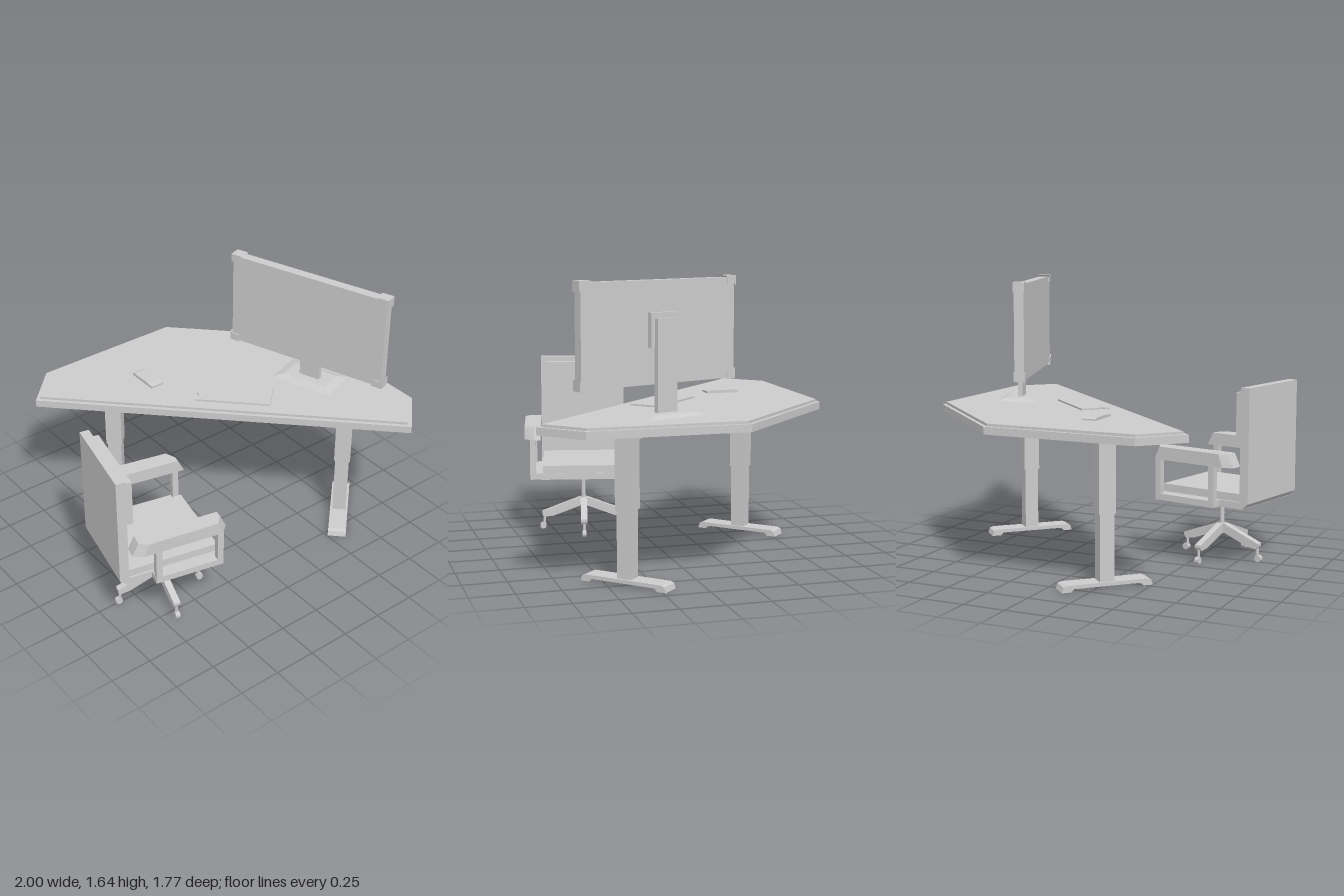
import * as THREE from 'three';

const material = new THREE.MeshStandardMaterial({ color: 0xcccccc, flatShading: true });

function add(parent, name, geometry) {
  const mesh = new THREE.Mesh(geometry, material);
  mesh.name = name;
  parent.add(mesh);
  return mesh;
}

// Box given by its minimum and maximum on each axis
function box(parent, name, [x0, x1], [y0, y1], [z0, z1]) {
  const g = new THREE.BoxGeometry(x1 - x0, y1 - y0, z1 - z0);
  g.translate((x0 + x1) / 2, (y0 + y1) / 2, (z0 + z1) / 2);
  return add(parent, name, g);
}

const shapeOf = (pts) => new THREE.Shape(pts.map(([a, b]) => new THREE.Vector2(a, b)));

// Vertical prism over an (x, z) outline; the top may be shrunk about the origin
function prism(parent, name, pts, y0, y1, topX = 1, topZ = 1) {
  const g = new THREE.ExtrudeGeometry(shapeOf(pts), { depth: y1 - y0, bevelEnabled: false });
  g.rotateX(Math.PI / 2).translate(0, y1, 0);
  const p = g.attributes.position;
  const mid = (y0 + y1) / 2;
  for (let i = 0; i < p.count; i++) {
    if (p.getY(i) > mid) p.setXYZ(i, p.getX(i) * topX, p.getY(i), p.getZ(i) * topZ);
  }
  g.computeVertexNormals();
  return add(parent, name, g);
}

// Side profile in (x, y), extruded across z
function profile(parent, name, pts, width) {
  const g = new THREE.ExtrudeGeometry(shapeOf(pts), { depth: width, bevelEnabled: false });
  g.translate(0, 0, -width / 2);
  return add(parent, name, g);
}

function place(parent, name, x, z, angle) {
  const group = new THREE.Group();
  group.name = name;
  group.position.set(x, 0, z);
  group.rotation.y = angle;
  parent.add(group);
  return group;
}

const rect = (x, z) => [[-x, -z], [x, -z], [x, z], [-x, z]];

function buildDesk(root) {
  const desk = place(root, 'desk', 0, 0, 0);
  const lower = [[-0.785, -0.67], [-0.575, -0.89], [0.325, -0.89], [0.995, -0.225], [0.995, 0.67], [0.78, 0.885]];
  const upper = [[-0.755, -0.67], [-0.565, -0.87], [0.315, -0.87], [0.975, -0.215], [0.975, 0.66], [0.78, 0.855]];
  prism(desk, 'deskTop', lower, 0.847, 0.89);
  prism(desk, 'deskSurface', upper, 0.89, 0.905);

  // Two telescopic legs, each on a bar foot with end pads
  for (const [x, z] of [[0.732, 0.385], [-0.273, -0.617]]) {
    const leg = place(desk, 'deskLeg', x, z, Math.PI / 4);
    box(leg, 'upperColumn', [-0.049, 0.049], [0.415, 0.85], [-0.049, 0.049]);
    box(leg, 'lowerColumn', [-0.042, 0.042], [0.03, 0.42], [-0.042, 0.042]);
    profile(leg, 'foot', [[-0.265, 0], [-0.21, 0], [-0.195, 0.017], [0.195, 0.017], [0.21, 0], [0.265, 0],
      [0.255, 0.03], [0.235, 0.038], [-0.235, 0.038], [-0.255, 0.03]], 0.11);
  }
}

function buildMonitor(root) {
  const monitor = place(root, 'monitor', 0.588, 0.177, 0.333);
  box(monitor, 'screenPanel', [-0.028, 0.03], [1.07, 1.632], [-0.505, 0.505]);
  // Corner caps, chamfered where they meet the panel
  for (const sz of [-1, 1]) {
    for (const top of [false, true]) {
      const cap = profile(monitor, 'cornerCap', [[0, 0], [0.075, 0], [0.058, 0.012], [0.058, 0.045], [0.012, 0.045], [0, 0.06]], 0.068);
      cap.rotation.set(0, sz > 0 ? Math.PI / 2 : -Math.PI / 2, top ? Math.PI : 0, 'YXZ');
      if (top) cap.rotation.y += Math.PI;
      cap.position.set(0, top ? 1.642 : 1.063, sz * 0.515);
    }
  }
  // Stand
  box(monitor, 'mountPlate', [0.025, 0.06], [1.27, 1.46], [-0.1, 0.08]);
  box(monitor, 'standPost', [0.055, 0.085], [0.91, 1.43], [-0.075, 0.055]);
  const base = prism(monitor, 'standBase', rect(0.122, 0.193), 0.905, 0.921, 0.6, 0.72);
  base.position.set(0.076, 0, -0.012);
}

function buildDeskItems(root) {
  // Thin notepad with a notched short edge
  const pad = place(root, 'notepad', 0.166, 0.019, -Math.PI / 4);
  prism(pad, 'notepadSheet', [[-0.222, -0.088], [0.222, -0.088], [0.222, 0.088], [-0.222, 0.088],
    [-0.222, 0.06], [-0.205, 0.045], [-0.21, 0.025], [-0.222, 0.015]], 0.905, 0.915);

  // Small handset with a stepped front end
  const handset = place(root, 'handset', -0.137, -0.436, Math.PI / 2);
  profile(handset, 'handsetBody', [[-0.099, 0.905], [0.099, 0.905], [0.099, 0.917], [0.09, 0.917], [0.055, 0.922], [-0.08, 0.922], [-0.099, 0.914]]
    .map(([x, y]) => [-x, y]).reverse(), 0.086);
}

function buildChair(root) {
  const chair = place(root, 'chair', -0.615, 0.31, -0.219);

  // Backrest and its pad
  profile(chair, 'backrest', [[-0.3, 0.366], [-0.285, 0.366], [-0.285, 1.064], [-0.34, 1.064], [-0.34, 0.4]], 0.53);
  box(chair, 'backPad', [-0.29, -0.24], [0.757, 1.033], [-0.24, 0.24]);

  // Seat
  box(chair, 'seatBase', [-0.3, 0.255], [0.364, 0.405], [-0.262, 0.262]);
  box(chair, 'seatCushion', [-0.29, 0.255], [0.4, 0.45], [-0.25, 0.25]);
  box(chair, 'armCrossbar', [-0.15, 0.258], [0.366, 0.404], [-0.328, 0.328]);

  // Mirrored armrests on two posts each
  for (const s of [-1, 1]) {
    const plan = [[-0.285, 0.262], [0.282, 0.262], [0.282, 0.3], [0.24, 0.36], [-0.23, 0.365], [-0.29, 0.335]];
    prism(chair, 'armrest', plan.map(([x, z]) => [x, s * z]), 0.614, 0.69, 0.87, 1);
    for (const u of [-0.13, 0.24]) {
      box(chair, 'armPost', [u - 0.018, u + 0.018], [0.39, 0.63], [s * 0.31 - 0.018, s * 0.31 + 0.018]);
    }
  }

  // Column and four-legged base on casters
  const column = new THREE.CylinderGeometry(0.013, 0.013, 0.22, 8);
  add(chair, 'seatColumn', column).position.y = 0.265;
  const hub = new THREE.CylinderGeometry(0.022, 0.03, 0.06, 8);
  add(chair, 'baseHub', hub).position.y = 0.175;
  for (let i = 0; i < 4; i++) {
    const leg = place(chair, 'baseLeg', 0, 0, i * Math.PI / 2);
    profile(leg, 'legBeam', [[0, 0.15], [0.03, 0.145], [0.19, 0.085], [0.25, 0.078], [0.262, 0.095], [0.262, 0.112], [0.03, 0.2], [0, 0.2]], 0.04);
    const stem = new THREE.CylinderGeometry(0.009, 0.009, 0.06, 6);
    add(leg, 'casterStem', stem).position.set(0.248, 0.06, 0);
    const wheel = new THREE.CylinderGeometry(0.021, 0.021, 0.026, 10);
    wheel.rotateX(Math.PI / 2);
    add(leg, 'casterWheel', wheel).position.set(0.256, 0.021, 0);
  }
}

export function createModel() {
  const root = new THREE.Group();
  root.name = 'workstation';
  buildDesk(root);
  buildMonitor(root);
  buildDeskItems(root);
  buildChair(root);
  return root;
}
